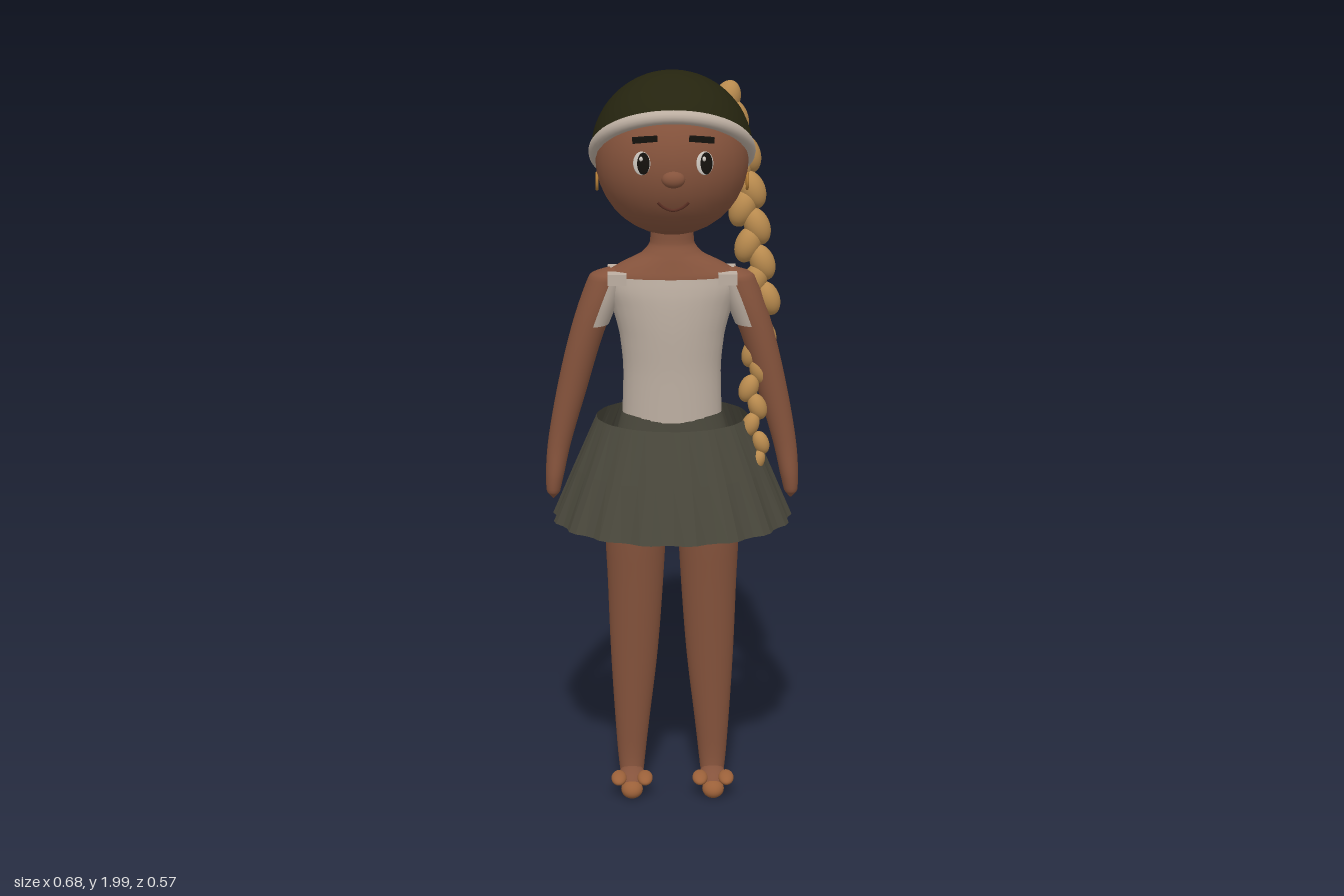
import * as THREE from 'three';

const mat = (name, color, side = THREE.FrontSide) => {
  const m = new THREE.MeshStandardMaterial({ color, side });
  m.name = name;
  return m;
};

// Skin a stack of ellipses, top to bottom: [y, cx, cz, rx, rz]
function loft(rings, { seg = 28, steps = 5, start = 0, length = Math.PI * 2, ripple = null } = {}) {
  const centre = new THREE.CatmullRomCurve3(rings.map(([y, x, z]) => new THREE.Vector3(x, y, z)));
  const radius = new THREE.CatmullRomCurve3(rings.map((r) => new THREE.Vector3(r[3], r[4], 0)));
  const rows = (rings.length - 1) * steps;
  const full = length > 6.28;
  const cols = full ? seg : seg + 1;
  const pos = [], index = [];
  for (let i = 0; i <= rows; i++) {
    const c = centre.getPoint(i / rows), r = radius.getPoint(i / rows);
    for (let j = 0; j < cols; j++) {
      const a = start + (j / seg) * length;
      const k = ripple ? ripple(a, i / rows) : 1;
      pos.push(c.x + r.x * k * Math.sin(a), c.y, c.z + r.y * k * Math.cos(a));
    }
  }
  for (let i = 0; i < rows; i++) {
    for (let j = 0; j < seg; j++) {
      const n = full ? (j + 1) % seg : j + 1;
      const a = i * cols + j, b = a + cols, c = (i + 1) * cols + n, d = i * cols + n;
      index.push(a, b, c, a, c, d);
    }
  }
  const g = new THREE.BufferGeometry();
  g.setAttribute('position', new THREE.Float32BufferAttribute(pos, 3));
  g.setIndex(index);
  g.computeVertexNormals();
  return g;
}

export function createModel() {
  const model = new THREE.Group();
  const skin = mat('skin', 0x85533c);
  const toeSkin = mat('toe skin', 0x9a6039);
  const cream = mat('cream cloth', 0xbcaea1, THREE.DoubleSide);
  const capGreen = mat('cap green', 0x25240f);
  const olive = mat('olive cloth', 0x4a483c, THREE.DoubleSide);
  const blonde = mat('blonde hair', 0xb88a4e);
  const gold = mat('gold', 0xb07a35);
  const black = mat('black', 0x14110d);
  const white = mat('eye white', 0xcfc8c0);
  const lip = mat('lip', 0x5c3024);

  const add = (name, geometry, material, parent = model) => {
    const mesh = new THREE.Mesh(geometry, material);
    mesh.name = name;
    parent.add(mesh);
    return mesh;
  };
  const ball = (name, material, [x, y, z], [rx, ry, rz], parent = model) => {
    const m = add(name, new THREE.SphereGeometry(1, 28, 18), material, parent);
    m.position.set(x, y, z);
    m.scale.set(rx, ry, rz);
    return m;
  };

  // Head and face
  const R = 0.2, headY = 1.77, zScale = 0.975;
  const face = (x, y, lift = 0) => new THREE.Vector3(x, y,
    Math.sqrt(R * R - x * x - (y - headY) ** 2) * zScale + lift);
  ball('head', skin, [0, headY, 0], [R, R, R * zScale]);
  ball('nose', skin, [0, 1.745, 0.19], [0.03, 0.022, 0.02]);
  const patch = (name, material, x, y, w, h, lift) => {
    const p = face(x, y, lift);
    const m = ball(name, material, p.toArray(), [w, h, 0.004]);
    m.lookAt(p.clone().multiplyScalar(2).sub(new THREE.Vector3(0, headY, 0)));
  };
  for (const s of [-1, 1]) {
    patch('eyeWhite', white, s * 0.08, 1.785, 0.024, 0.03, 0);
    patch('pupil', black, s * 0.08 + 0.004, 1.785, 0.017, 0.028, 0.003);
    patch('eyeGlint', white, s * 0.08 - 0.002, 1.797, 0.005, 0.006, 0.008);
    const brow = add('eyebrow', new THREE.BoxGeometry(0.064, 0.014, 0.02), black);
    brow.position.set(s * 0.072, 1.845, 0.174);
    brow.rotation.z = -s * 0.08;
    const hoop = add('earring', new THREE.TorusGeometry(0.021, 0.004, 8, 24), gold);
    hoop.position.set(s * 0.196, 1.71, 0);
    hoop.rotation.y = Math.PI / 2;
  }
  const smile = [-0.04, -0.025, 0, 0.025, 0.04].map((x) => face(x, 1.662 + 14 * x * x, 0.001));
  add('mouth', new THREE.TubeGeometry(new THREE.CatmullRomCurve3(smile), 20, 0.004, 6), lip);

  // Tilted cap with band, and bun at the back
  const cap = new THREE.Group();
  cap.name = 'cap';
  cap.position.y = 1.787;
  cap.rotation.x = -0.6;
  model.add(cap);
  add('capDome', new THREE.SphereGeometry(0.211, 40, 20, 0, Math.PI * 2, 0, Math.PI / 2), capGreen, cap);
  add('capBand', new THREE.TorusGeometry(0.2, 0.018, 14, 56), cream, cap).rotation.x = Math.PI / 2;
  ball('bun', capGreen, [0, 1.81, -0.195], [0.077, 0.077, 0.077]);

  // Braid of overlapping beads swinging over the left shoulder
  const braid = new THREE.Group();
  braid.name = 'braid';
  model.add(braid);
  const path = new THREE.CatmullRomCurve3([
    [0.145, 1.905, -0.115], [0.18, 1.78, -0.09], [0.2, 1.65, -0.06], [0.222, 1.5, -0.035], [0.24, 1.4, -0.02],
    [0.228, 1.25, 0], [0.215, 1.15, 0.03], [0.22, 1.05, 0.055], [0.235, 0.97, 0.07],
  ].map((p) => new THREE.Vector3(...p)));
  const beads = 21;
  for (let i = 0; i < beads; i++) {
    const t = i / (beads - 1), s = i % 2 ? 1 : -1, k = 1 - 0.45 * t ** 2;
    const p = path.getPointAt(t);
    const bead = ball('braidBead', blonde, [p.x + s * 0.017 * k * Math.min(1, i / 2), p.y, p.z],
      [0.036 * k, 0.054 * k, 0.039 * k], braid);
    bead.rotation.z = s * 0.35;
  }

  // Neck and shoulders, then the shirt below
  add('shoulders', loft([[1.62, 0, 0, 0.055, 0.045], [1.55, 0, -0.005, 0.058, 0.048], [1.52, 0, -0.005, 0.08, 0.06],
    [1.49, 0, -0.005, 0.14, 0.072], [1.46, 0, -0.003, 0.178, 0.08], [1.42, 0, 0, 0.165, 0.08]]), skin);
  add('shirt', loft([[1.462, 0, -0.003, 0.18, 0.083], [1.43, 0, -0.003, 0.178, 0.089], [1.38, 0, -0.003, 0.16, 0.094],
    [1.3, 0, -0.003, 0.139, 0.095], [1.2, 0, -0.003, 0.13, 0.092], [1.06, 0, -0.003, 0.134, 0.092]]), cream);
  for (const s of [-1, 1]) {
    for (const z of [-0.04, 0.04]) {
      const strap = add('shirtStrap', new THREE.BoxGeometry(0.05, 0.03, 0.06), cream);
      strap.position.set(s * 0.145, 1.46, z);
    }
  }

  // Arms with torn sleeve pieces at the armpits
  for (const s of [-1, 1]) {
    add('arm', loft([[1.482, s * 0.155, -0.003, 0.01, 0.015], [1.46, s * 0.168, -0.005, 0.05, 0.055],
      [1.4, s * 0.192, -0.005, 0.05, 0.058], [1.3, s * 0.228, 0, 0.045, 0.05], [1.15, s * 0.268, 0, 0.04, 0.042],
      [1, s * 0.303, 0.002, 0.031, 0.035], [0.92, s * 0.315, 0.007, 0.025, 0.034],
      [0.87, s * 0.32, 0.01, 0.018, 0.026], [0.85, s * 0.32, 0.01, 0.002, 0.003]]), skin);
    add('sleevePiece', loft([[1.45, s * 0.172, -0.005, 0.054, 0.06], [1.4, s * 0.192, -0.005, 0.054, 0.062],
      [1.33, s * 0.217, -0.002, 0.05, 0.056]], { seg: 14, start: s > 0 ? Math.PI * 1.05 : Math.PI * 0.05, length: 2.83 }), cream);
  }

  // Pleated skirt, open at both ends
  const pleat = (a, t) => 1 + (0.01 + 0.05 * t) * (Math.abs(Math.sin(8.5 * a + 0.4)) - 0.6);
  const skirt = loft([[1.078, 0, 0, 0.202, 0.178], [0.94, 0, 0, 0.26, 0.229], [0.797, 0, 0, 0.318, 0.278]],
    { seg: 68, steps: 1, ripple: pleat }).toNonIndexed();
  skirt.computeVertexNormals();
  add('skirt', skirt, olive);

  // Shorts under the skirt
  add('shorts', loft([[1.09, 0, -0.003, 0.134, 0.091], [1, 0, -0.003, 0.158, 0.097], [0.9, 0, -0.003, 0.178, 0.095],
    [0.84, 0, -0.003, 0.15, 0.08], [0.815, 0, -0.003, 0.005, 0.005]]), olive);

  // Legs, feet and toes
  for (const s of [-1, 1]) {
    add('shortsLeg', loft([[0.92, s * 0.092, -0.003, 0.085, 0.088], [0.81, s * 0.098, -0.003, 0.086, 0.087]]), olive);
    add('leg', loft([[0.95, s * 0.09, -0.003, 0.08, 0.08], [0.8, s * 0.098, -0.003, 0.083, 0.083],
      [0.6, s * 0.1, -0.003, 0.075, 0.068], [0.4, s * 0.104, -0.004, 0.064, 0.052], [0.2, s * 0.11, -0.008, 0.047, 0.041],
      [0.1, s * 0.112, -0.008, 0.038, 0.036], [0.05, s * 0.112, 0, 0.032, 0.032], [0.022, s * 0.112, 0.01, 0.004, 0.004]]), skin);
    ball('foot', skin, [s * 0.112, 0.047, 0.035], [0.037, 0.026, 0.056]).rotation.x = 0.22;
    ball('bigToe', toeSkin, [s * 0.112, 0.028, 0.078], [0.03, 0.024, 0.031]).rotation.x = 0.3;
    for (const d of [-1, 1]) {
      ball('sideToe', toeSkin, [s * 0.112 + d * 0.036, 0.057, 0.07], [0.021, 0.014, 0.032]).rotation.x = 0.2;
    }
  }
  return model;
}
